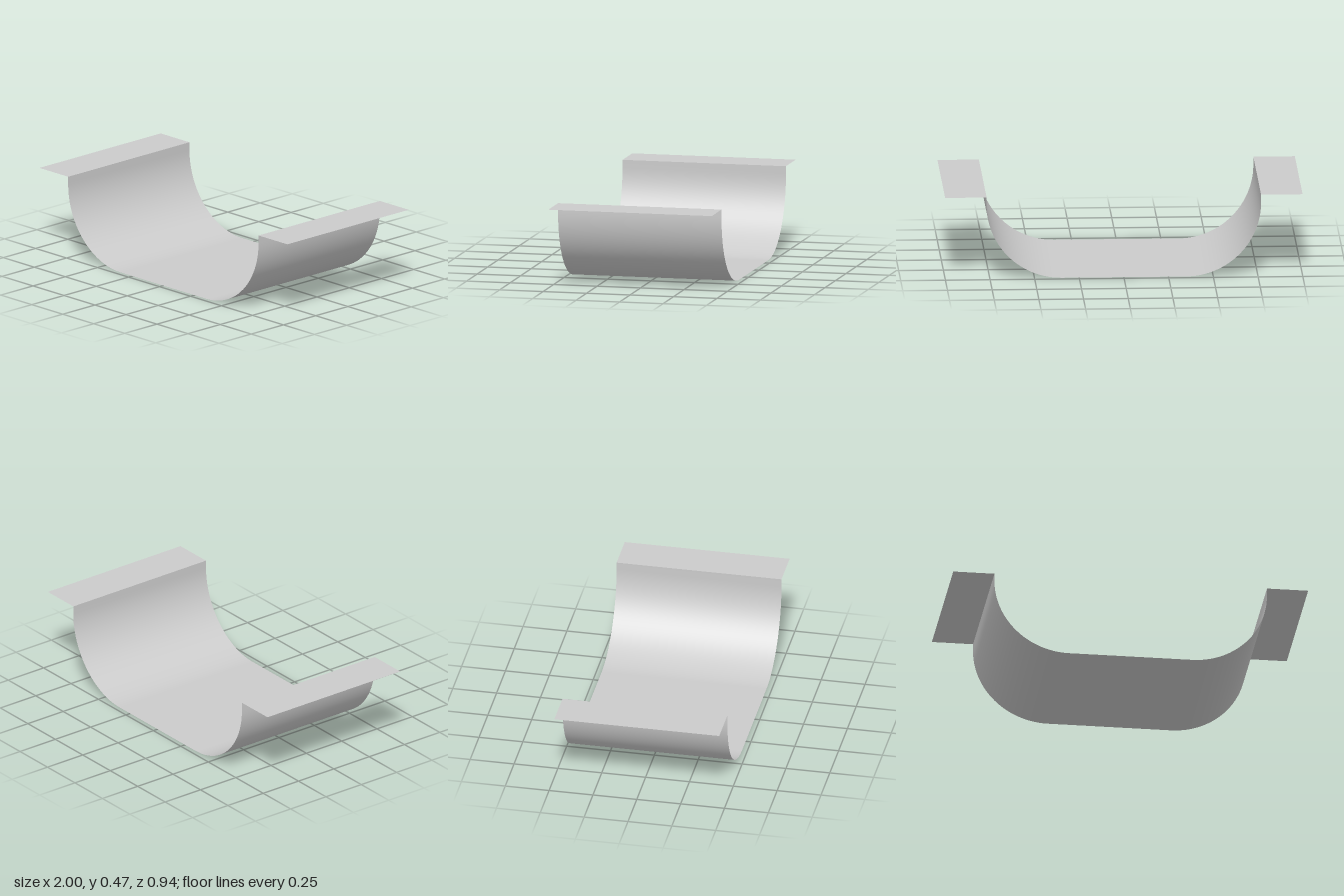
import * as THREE from 'three';

const DEPTH = 0.94, HEIGHT = 0.465, WALL_X = 0.768, RADIUS = 0.42;
const material = new THREE.MeshStandardMaterial({ color: 0xcccccc, side: THREE.DoubleSide });

// Thin sheet following a cross-section of [x, y] points, extended along z
function sheet(name, profile) {
  const n = profile.length - 1;
  const geometry = new THREE.PlaneGeometry(n, DEPTH, n, 1).rotateX(-Math.PI / 2);
  const pos = geometry.attributes.position;
  for (let i = 0; i < pos.count; i++) {
    const [x, y] = profile[i % (n + 1)];
    pos.setXY(i, x, y);
  }
  geometry.computeVertexNormals();
  const mesh = new THREE.Mesh(geometry, material);
  mesh.name = name;
  return mesh;
}

export function createModel() {
  const group = new THREE.Group();
  group.name = 'saddleBracket';

  // Right half of the trough: quarter round corner, then a short upright lip
  const half = [];
  const steps = 24;
  for (let i = 0; i <= steps; i++) {
    const a = (i / steps) * Math.PI / 2;
    half.push([WALL_X - RADIUS + RADIUS * Math.sin(a), RADIUS - RADIUS * Math.cos(a)]);
  }
  half.push([WALL_X, HEIGHT]);

  // Mirrored to make the full trough with its flat bottom
  const mirrored = half.map(([x, y]) => [-x, y]).reverse();
  group.add(sheet('trough', [...mirrored, ...half]));

  // Flat mounting flanges on both sides
  group.add(sheet('leftFlange', [[WALL_X, HEIGHT], [1, HEIGHT]]));
  group.add(sheet('rightFlange', [[-1, HEIGHT], [-WALL_X, HEIGHT]]));
  return group;
}
